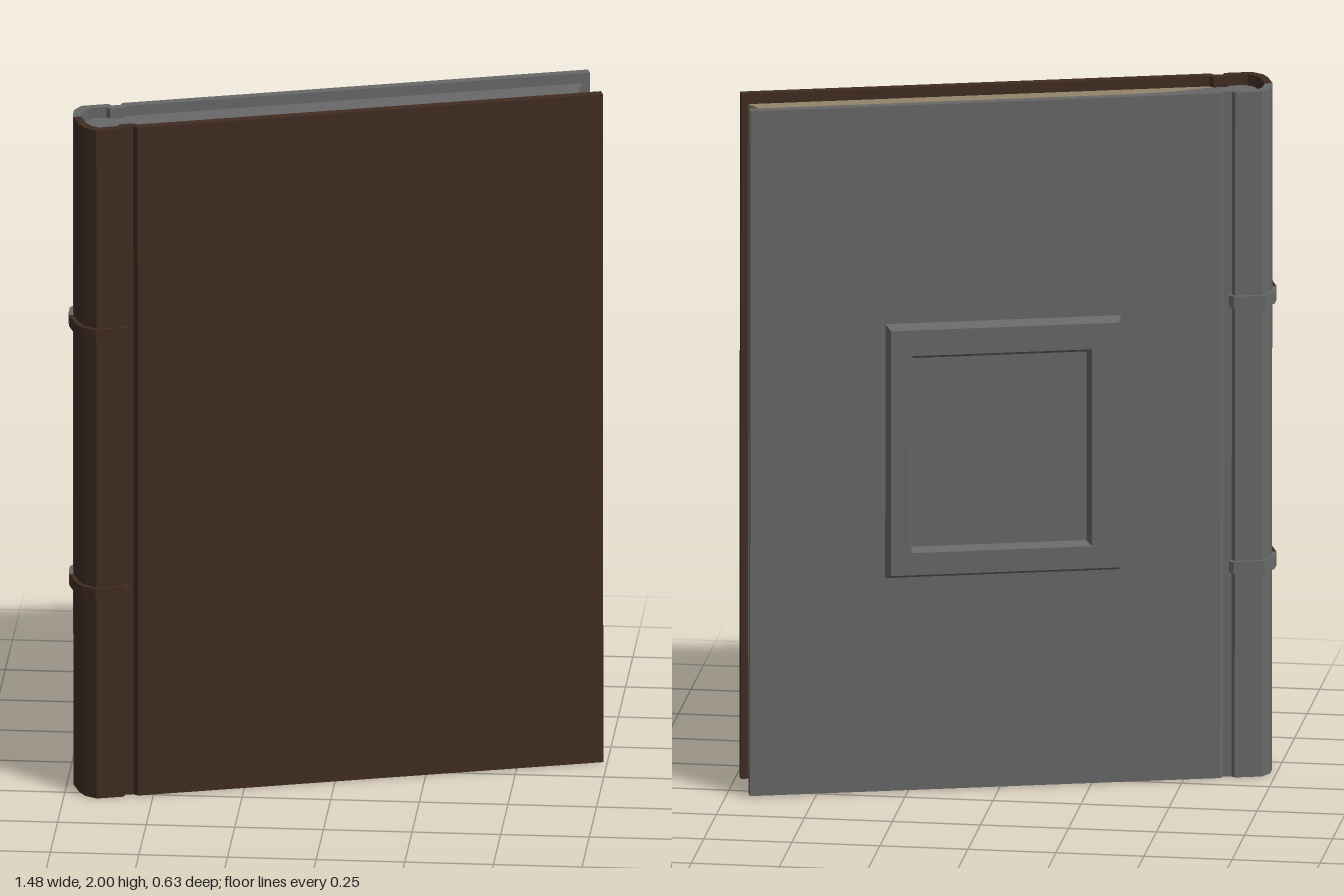
import * as THREE from 'three';

const leather = new THREE.MeshStandardMaterial({ color: 0x402c22 });
leather.name = 'brownLeather';
const grey = new THREE.MeshStandardMaterial({ color: 0x686868 });
grey.name = 'greyLeather';
const paper = new THREE.MeshStandardMaterial({ color: 0x948569 });
paper.name = 'tanPaper';

const SPLIT = -0.02; // where the two cover colours meet on the spine

// Extrude a plan outline of [x, z] points upwards from y0 to y1
function slab(name, points, y0, y1, material) {
  const shape = new THREE.Shape(points.map(([x, z]) => new THREE.Vector2(x, -z)));
  const geometry = new THREE.ExtrudeGeometry(shape, { depth: y1 - y0, bevelEnabled: false });
  geometry.rotateX(-Math.PI / 2);
  geometry.translate(0, y0, 0);
  const mesh = new THREE.Mesh(geometry, material);
  mesh.name = name;
  return mesh;
}

// One board with its hinge groove and its share of the rounded spine
function coverOutline(side) {
  const outer = [[-0.755, side * SPLIT], [-0.752, 0.04], [-0.742, 0.075], [-0.715, 0.104],
    [-0.637, 0.104], [-0.63, 0.09], [-0.606, 0.09], [-0.596, 0.104], [0.74, 0.104]];
  const inner = [[0.74, 0.077], [-0.59, 0.077], [-0.6, 0.065], [-0.64, 0.065], [-0.648, 0.077],
    [-0.7, 0.08], [-0.72, 0.06], [-0.73, 0.03], [-0.732, side * SPLIT]];
  return [...outer, ...inner].map(([x, z]) => [x, side * z]);
}

// Raised band that hugs the spine
function bandOutline(side) {
  return [[-0.767, side * SPLIT], [-0.764, 0.043], [-0.753, 0.082], [-0.72, 0.114], [-0.632, 0.114],
    [-0.622, 0.104], [-0.622, 0.085], [-0.7, 0.085], [-0.735, 0.05], [-0.74, side * SPLIT]]
    .map(([x, z]) => [x, side * z]);
}

// Bevelled rectangular frame on the back, made from nested rectangle loops
function backFrame() {
  const loops = [ // x0, x1, y0, y1, z
    [-0.314, 0.358, 0.62, 1.365, -0.1],
    [-0.303, 0.345, 0.635, 1.35, -0.134],
    [-0.226, 0.29, 0.7, 1.275, -0.134],
    [-0.214, 0.278, 0.712, 1.263, -0.11],
  ];
  const positions = [];
  const index = [];
  loops.forEach(([x0, x1, y0, y1, z]) => positions.push(x0, y0, z, x1, y0, z, x1, y1, z, x0, y1, z));
  for (let l = 0; l < 3; l++) {
    for (let i = 0; i < 4; i++) {
      const a = l * 4 + i;
      const b = l * 4 + (i + 1) % 4;
      index.push(a, a + 4, b, b, a + 4, b + 4);
    }
  }
  index.push(12, 14, 13, 12, 15, 14); // recessed panel
  const indexed = new THREE.BufferGeometry();
  indexed.setAttribute('position', new THREE.Float32BufferAttribute(positions, 3));
  indexed.setIndex(index);
  const geometry = indexed.toNonIndexed();
  geometry.computeVertexNormals();
  const mesh = new THREE.Mesh(geometry, grey);
  mesh.name = 'backFrame';
  return mesh;
}

export function createModel() {
  const model = new THREE.Group();
  model.name = 'book';
  const book = new THREE.Group();
  book.name = 'bookBody';

  // Covers and spine bands
  for (const [side, label, material] of [[1, 'front', leather], [-1, 'back', grey]]) {
    book.add(slab(label + 'Cover', coverOutline(side), 0, 2, material));
    for (const y of [0.615, 1.39]) {
      book.add(slab(label + 'SpineBand', bandOutline(side), y - 0.017, y + 0.017, material));
    }
  }

  // Page block with a hollow fore edge, in two colours
  const seam = [[0.692, 0], [0.345, -0.003], [-0.1, 0.01], [-0.48, 0.037], [-0.615, 0.07]];
  book.add(slab('frontPages', [[0.72, 0.078], [0.703, 0.04], ...seam, [-0.63, 0.078]], 0.03, 1.97, paper));
  book.add(slab('backPages', [...seam, [-0.63, 0.078], [-0.69, 0.078], [-0.715, 0.055], [-0.727, 0],
    [-0.715, -0.055], [-0.69, -0.078], [0.72, -0.078], [0.703, -0.04]], 0.03, 1.97, grey));

  // Tan lower edge of the pages
  book.add(slab('lowerPageEdge', [[0.72, 0.078], [0.703, 0.04], [0.692, 0], [0.697, -0.03],
    [-0.6, -0.03], [-0.69, 0.03], [-0.69, 0.078]], 0.026, 0.03, paper));

  book.add(backFrame());

  // Book stands turned and leans very slightly
  book.position.y = -1;
  const turn = new THREE.Group();
  turn.name = 'turnedBook';
  turn.add(book);
  turn.rotation.y = 0.286;
  const lean = new THREE.Group();
  lean.name = 'leaningBook';
  lean.add(turn);
  lean.rotation.x = 0.0065;
  lean.position.y = 1;
  model.add(lean);
  return model;
}
